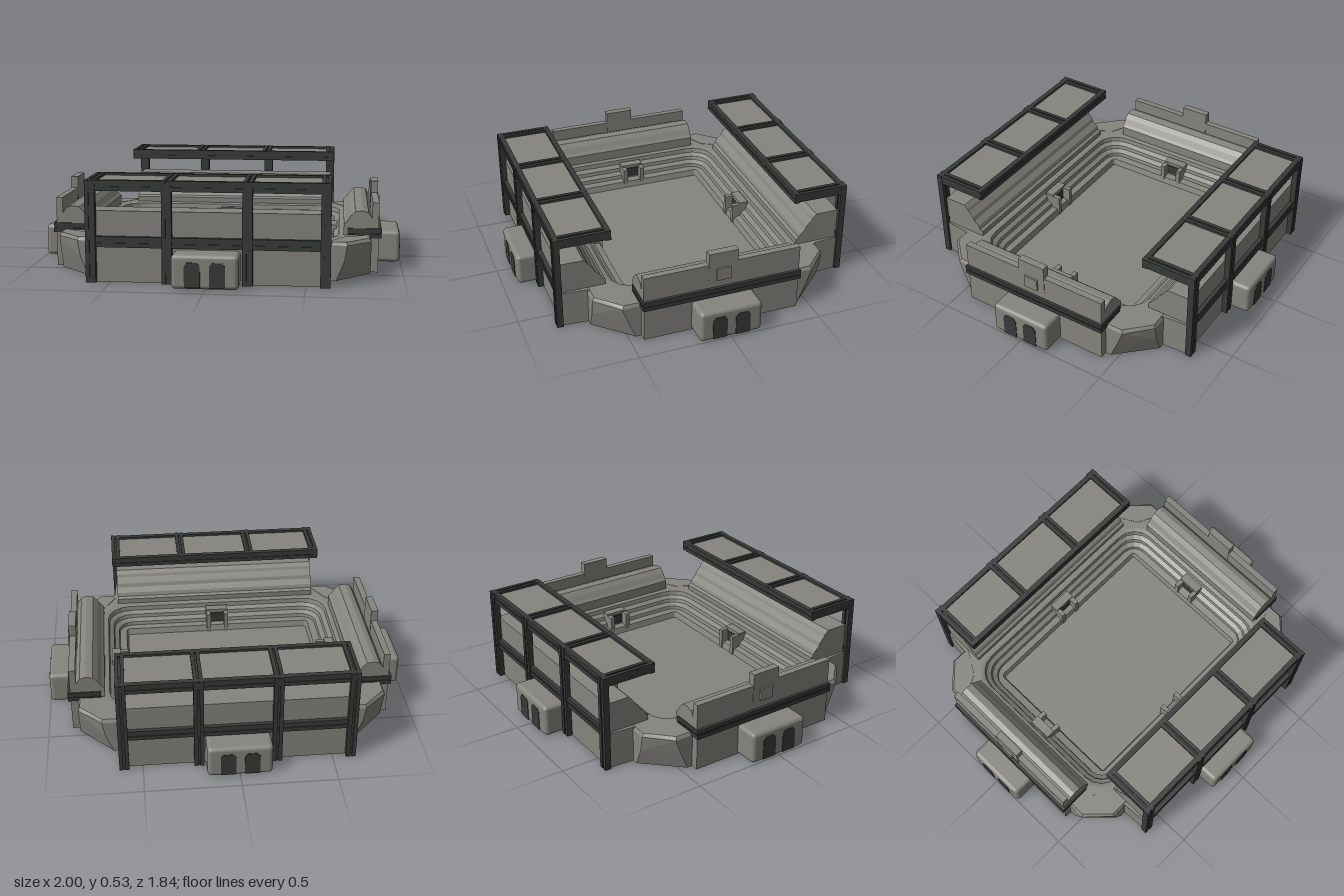
import * as THREE from 'three';
import { mergeGeometries } from 'three/addons/utils/BufferGeometryUtils.js';
import { RoundedBoxGeometry } from 'three/addons/geometries/RoundedBoxGeometry.js';
import { ConvexGeometry } from 'three/addons/geometries/ConvexGeometry.js';

const concrete = new THREE.MeshStandardMaterial({ color: 0x85847e });
concrete.name = 'concrete grey';
const steel = new THREE.MeshStandardMaterial({ color: 0x383939 });
steel.name = 'dark steel';

const part = (parent, name, geo, mat, x = 0, y = 0, z = 0) => {
  const m = new THREE.Mesh(geo, mat);
  m.name = name;
  m.position.set(x, y, z);
  parent.add(m);
  return m;
};
const box = (w, h, d, x = 0, y = 0, z = 0) => new THREE.BoxGeometry(w, h, d).translate(x, y, z);
const shapeOf = pts => new THREE.Shape(pts.map(p => new THREE.Vector2(p[0], p[1])));
const extrude = (shape, depth) => new THREE.ExtrudeGeometry(shape, { depth, bevelEnabled: false, curveSegments: 6 });

// Slab from a plan outline (x, z), top at the given height, standing on the ground
const slab = (shape, top) => extrude(shape, top).rotateX(Math.PI / 2).translate(0, top, 0);

// Channelled beam: two flanges with a recessed web; split is the axis the flanges are apart on
function beam(w, h, d, split) {
  const size = [w, h, d], k = 'xyz'.indexOf(split), geos = [];
  for (const s of [-1, 1]) {
    const fs = [...size], p = [0, 0, 0];
    fs[k] *= 0.4;
    p[k] = s * size[k] * 0.3;
    geos.push(box(...fs, ...p));
  }
  geos.push(box(...size.map((v, i) => (i === k ? v * 0.9 : v > 0.2 ? v : v * 0.65))));
  return mergeGeometries(geos);
}

// Rounded rectangle in plan, as a list of points
function roundedRect(a, b, r, n = 4) {
  const pts = [];
  for (let q = 0; q < 4; q++) {
    const sx = q === 0 || q === 3 ? 1 : -1, sz = q < 2 ? 1 : -1;
    for (let i = 0; i <= n; i++) {
      const t = (q + i / n) * Math.PI / 2;
      pts.push([sx * (a - r) + r * Math.cos(t), sz * (b - r) + r * Math.sin(t)]);
    }
  }
  return pts;
}

// Stepped seating bowl lofted through rings of [halfX, halfZ, radius, y]
function bowl(rings) {
  const pos = [], loops = rings.map(([a, b, r, y]) => roundedRect(a, b, r).map(p => [p[0], y, p[1]]));
  for (let i = 0; i < loops.length - 1; i++) {
    const n = loops[i].length;
    for (let j = 0; j < n; j++) {
      const k = (j + 1) % n;
      const A = loops[i][j], B = loops[i][k], C = loops[i + 1][j], D = loops[i + 1][k];
      pos.push(...A, ...C, ...B, ...B, ...C, ...D);
    }
  }
  const g = new THREE.BufferGeometry();
  g.setAttribute('position', new THREE.Float32BufferAttribute(pos, 3));
  g.computeVertexNormals();
  return g;
}

// Entrance block with a pair of arched doors, facing +z
function entrance(front, back) {
  const g = new THREE.Group();
  g.name = 'entrance';
  const depth = front - back;
  part(g, 'entranceBlock', new RoundedBoxGeometry(0.34, 0.175, depth, 3, 0.022), concrete, 0, 0.0875, (front + back) / 2);
  for (const s of [-1, 1]) {
    const door = shapeOf([[-0.04, 0.01], [0.04, 0.01], [0.04, 0.12], [0.025, 0.138], [-0.025, 0.138], [-0.04, 0.12]]);
    part(g, 'door', extrude(door, 0.004), steel, s * 0.063, 0, front - 0.001);
  }
  return g;
}

// Portal at the edge of the pitch, facing the centre from +z
function portal(z) {
  const g = new THREE.Group();
  g.name = 'playersTunnel';
  for (const s of [-1, 1]) part(g, 'tunnelWall', box(0.025, 0.12, 0.09), concrete, s * 0.053, 0.115, z + 0.045);
  part(g, 'tunnelRoof', box(0.13, 0.02, 0.05), concrete, 0, 0.175, z + 0.07);
  part(g, 'tunnelOpening', box(0.082, 0.1, 0.008), steel, 0, 0.11, z + 0.05);
  return g;
}

// Long stand with its steel frame and canopy, on the +z side
function longStand() {
  const g = new THREE.Group();
  g.name = 'longStand';
  const profile = shapeOf([[0.545, 0.19], [0.79, 0.19], [0.79, 0.37], [0.66, 0.37], [0.64, 0.35], [0.632, 0.335],
    [0.605, 0.305], [0.597, 0.285], [0.57, 0.26], [0.562, 0.24], [0.545, 0.23]]);
  part(g, 'upperSeating', extrude(profile, 1.2).translate(0, 0, -0.6).rotateY(-Math.PI / 2), concrete);
  part(g, 'facadeBand', beam(1.22, 0.055, 0.03, 'y'), steel, 0, 0.212, 0.797);
  for (const x of [-0.597, -0.205, 0.205, 0.597]) {
    part(g, 'post', beam(0.052, 0.53, 0.034, 'x'), steel, x, 0.265, 0.803);
    part(g, 'canopyRib', beam(0.048, 0.05, 0.3, 'x'), steel, x, 0.505, 0.667);
  }
  for (const z of [0.528, 0.8]) part(g, 'canopyBeam', beam(1.24, 0.055, 0.028, 'y'), steel, 0, 0.502, z);
  for (const x of [-0.4, 0, 0.4]) part(g, 'canopyPanel', box(0.37, 0.01, 0.27), concrete, x, 0.512, 0.664);
  g.add(entrance(0.917, 0.74), portal(0.4));
  return g;
}

// Short stand with a low back wall, on the +x side
function shortStand() {
  const g = new THREE.Group();
  g.name = 'shortStand';
  const profile = shapeOf([[0.685, 0.19], [0.87, 0.19], [0.87, 0.375], [0.835, 0.375], [0.835, 0.29], [0.815, 0.32],
    [0.785, 0.33], [0.745, 0.325], [0.72, 0.3], [0.7, 0.27], [0.685, 0.255]]);
  part(g, 'shortSeating', extrude(profile, 0.86).translate(0, 0, -0.43), concrete);
  part(g, 'controlBox', box(0.04, 0.16, 0.16), concrete, 0.853, 0.36, 0);
  part(g, 'controlBoxLedge', box(0.012, 0.07, 0.08), concrete, 0.877, 0.315, 0);
  for (const y of [0.196, 0.225]) part(g, 'sideBand', box(0.18, 0.022, 0.874), steel, 0.795, y, 0);
  part(g, 'sideBandCore', box(0.17, 0.04, 0.864), steel, 0.795, 0.21, 0);
  const gate = entrance(0.997, 0.8);
  gate.rotation.y = Math.PI / 2;
  const tunnel = portal(0.55);
  tunnel.rotation.y = Math.PI / 2;
  g.add(gate, tunnel);
  return g;
}

export function createModel() {
  const model = new THREE.Group();
  model.name = 'stadium';

  // Ground storey with an opening for the bowl
  const quarter = [[0.87, 0.43], [0.83, 0.43], [0.62, 0.65], [0.61, 0.79]];
  const rev = [...quarter].reverse();
  const outline = [...quarter, ...rev.map(([x, z]) => [-x, z]), ...quarter.map(([x, z]) => [-x, -z]), ...rev.map(([x, z]) => [x, -z])];
  const storey = shapeOf(outline);
  const rim = roundedRect(0.68, 0.53, 0.14);
  storey.holes.push(new THREE.Path(rim.map(p => new THREE.Vector2(p[0], p[1]))));
  part(model, 'groundStorey', slab(storey, 0.2), concrete);

  // Pitch and lower seating bowl
  part(model, 'pitch', slab(shapeOf(rim), 0.06), concrete);
  part(model, 'lowerBowl', bowl([
    [0.68, 0.53, 0.14, 0.2], [0.66, 0.512, 0.13, 0.195], [0.655, 0.508, 0.13, 0.17], [0.63, 0.485, 0.11, 0.155],
    [0.625, 0.48, 0.11, 0.135], [0.6, 0.455, 0.09, 0.12], [0.595, 0.45, 0.08, 0.1], [0.555, 0.415, 0.02, 0.095],
    [0.545, 0.405, 0.01, 0.06]]), concrete);

  // Corner blocks, chamfered more deeply toward the ground
  for (const sx of [-1, 1]) for (const sz of [-1, 1]) {
    const pts = [[0.83, 0, 0.43], [0.83, 0, 0.46], [0.65, 0, 0.65], [0.6, 0, 0.65], [0.66, 0, 0.45],
      [0.83, 0.1, 0.5], [0.69, 0.1, 0.65], [0.83, 0.185, 0.53], [0.705, 0.185, 0.65], [0.82, 0.202, 0.52],
      [0.7, 0.202, 0.64], [0.82, 0.202, 0.43], [0.6, 0.202, 0.64], [0.83, 0.185, 0.43], [0.6, 0.185, 0.65], [0.68, 0.202, 0.5]];
    part(model, 'cornerBlock', new ConvexGeometry(pts.map(p => new THREE.Vector3(p[0] * sx, p[1], p[2] * sz))), concrete);
  }

  // Opposite stands
  for (const angle of [0, Math.PI]) {
    for (const stand of [longStand(), shortStand()]) {
      stand.rotation.y = angle;
      model.add(stand);
    }
  }
  return model;
}
